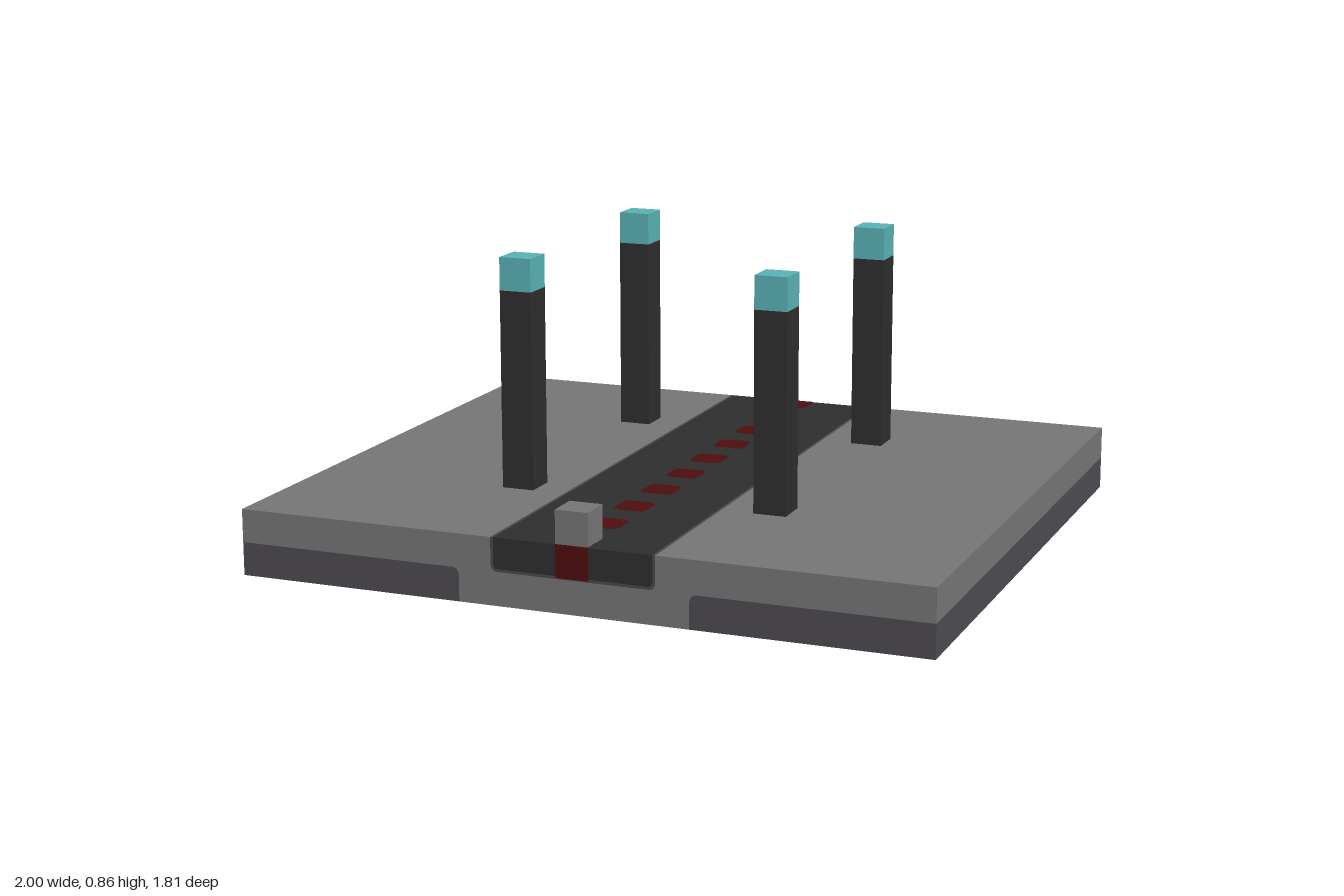
import * as THREE from 'three';

const U = 2 / 21;            // grid unit
const L = 19 * U;            // length along z
const TOP = 2 * U;           // height of the slab
const R = 0.022;             // corner radius

const mat = (name, color) => {
  const m = new THREE.MeshStandardMaterial({ color });
  m.name = name;
  return m;
};

// Rectangle with its own radius for the upper-left, upper-right, lower-right, lower-left corner
function roundedRect(x0, y0, x1, y1, ul, ur, lr, ll) {
  const s = new THREE.Shape();
  s.moveTo(x0 + ll, y0);
  s.lineTo(x1 - lr, y0);
  if (lr) s.quadraticCurveTo(x1, y0, x1, y0 + lr);
  s.lineTo(x1, y1 - ur);
  if (ur) s.quadraticCurveTo(x1, y1, x1 - ur, y1);
  s.lineTo(x0 + ul, y1);
  if (ul) s.quadraticCurveTo(x0, y1, x0, y1 - ul);
  s.lineTo(x0, y0 + ll);
  if (ll) s.quadraticCurveTo(x0, y0, x0 + ll, y0);
  return s;
}

// Cross-section run along the whole length
function along(shape) {
  const g = new THREE.ExtrudeGeometry(shape, { depth: L, bevelEnabled: false, curveSegments: 5 });
  return g.translate(0, 0, -L / 2);
}

export function createModel() {
  const group = new THREE.Group();
  const stone = mat('stone grey', 0x747474);
  const under = mat('slate', 0x4c4a50);
  const dark = mat('charcoal', 0x2d2d2d);
  const rim = mat('rim grey', 0x484848);
  const red = mat('dark red', 0x4e0d0f);
  const teal = mat('teal', 0x58b0b4);

  const add = (name, geometry, material, x = 0, y = 0, z = 0) => {
    const m = new THREE.Mesh(geometry, material);
    m.name = name;
    m.position.set(x, y, z);
    group.add(m);
    return m;
  };

  // Slab: cut away below at both sides and along the middle on top
  const c = 2.5 * U, n = 3.5 * U;
  const s = new THREE.Shape();
  s.moveTo(-n, 0);
  s.lineTo(n, 0);
  s.lineTo(n, U - R);
  s.quadraticCurveTo(n, U, n + R, U);
  s.lineTo(1, U);
  s.lineTo(1, TOP);
  s.lineTo(c, TOP);
  s.lineTo(c, U + R);
  s.quadraticCurveTo(c, U, c - R, U);
  s.lineTo(-c + R, U);
  s.quadraticCurveTo(-c, U, -c, U + R);
  s.lineTo(-c, TOP);
  s.lineTo(-1, TOP);
  s.lineTo(-1, U);
  s.lineTo(-n - R, U);
  s.quadraticCurveTo(-n, U, -n, U - R);
  s.closePath();
  add('slab', along(s), stone);

  // Lower slabs on both sides
  add('leftUnderSlab', along(roundedRect(n, 0, 1, U, R, 0, 0, 0)), under);
  add('rightUnderSlab', along(roundedRect(-1, 0, -n, U, 0, R, 0, 0)), under);

  // Sunken track with a thin rim around it
  const t = 0.008;
  const rimShape = new THREE.Shape();
  rimShape.moveTo(-c, TOP);
  rimShape.lineTo(-c, U + R);
  rimShape.quadraticCurveTo(-c, U, -c + R, U);
  rimShape.lineTo(c - R, U);
  rimShape.quadraticCurveTo(c, U, c, U + R);
  rimShape.lineTo(c, TOP);
  rimShape.lineTo(c - t, TOP);
  rimShape.lineTo(c - t, U + R);
  rimShape.quadraticCurveTo(c - t, U + t, c - R, U + t);
  rimShape.lineTo(-c + R, U + t);
  rimShape.quadraticCurveTo(-c + t, U + t, -c + t, U + R);
  rimShape.lineTo(-c + t, TOP);
  rimShape.closePath();
  add('trackRim', along(rimShape), rim);
  add('track', along(roundedRect(-c + t, U + t, c - t, TOP, 0, 0, R - t, R - t)), dark);

  // Row of red marks; the end ones go down the end faces
  for (let k = -9; k <= 9; k += 2) {
    const back = k === -9, front = k === 9, end = back || front;
    const a = back ? 0 : R, b = front ? 0 : R, h = U / 2;
    const depth = end ? U - 0.002 : 0.004;
    const g = new THREE.ExtrudeGeometry(roundedRect(-h, -h, h, h, a, a, b, b),
      { depth, bevelEnabled: false, curveSegments: 5 });
    g.rotateX(-Math.PI / 2);
    add('redMark', g, red, 0, TOP + 0.001 - depth, k * U + (back ? -0.001 : front ? 0.001 : 0));
  }

  // Small block at the front end of the track
  add('frontBlock', new THREE.BoxGeometry(U, U, U), stone, 0, TOP + U / 2, 9 * U);

  // Four posts with lamps on top
  for (const x of [-4 * U, 4 * U]) {
    for (const z of [-5 * U, 4 * U]) {
      add('post', new THREE.BoxGeometry(U, 6 * U, U), dark, x, TOP + 3 * U, z);
      add('postLamp', new THREE.BoxGeometry(U, U, U), teal, x, TOP + 6.5 * U, z);
    }
  }
  return group;
}
